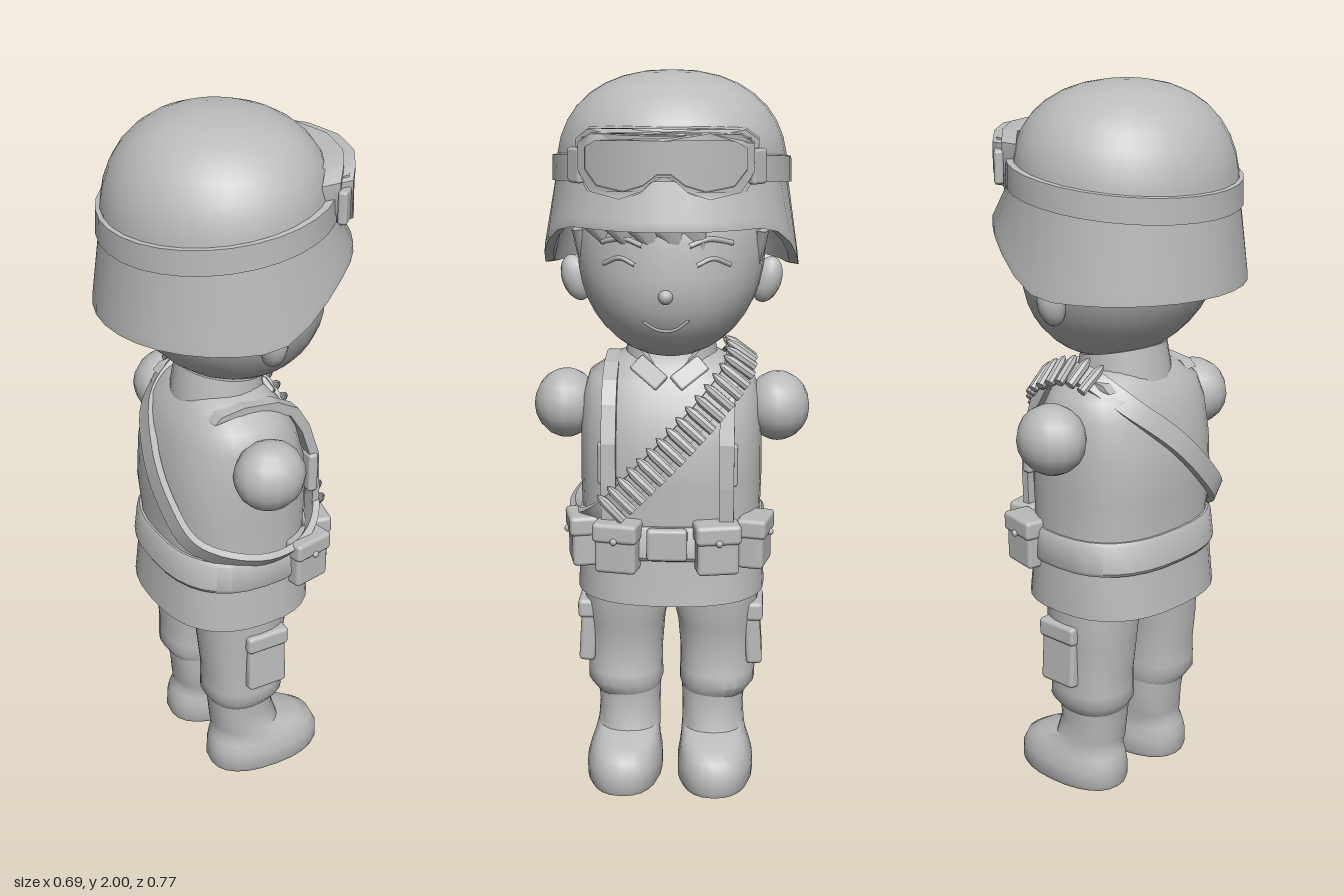
import * as THREE from 'three';
import { toCreasedNormals, mergeVertices } from 'three/addons/utils/BufferGeometryUtils.js';
import { RoundedBoxGeometry } from 'three/addons/geometries/RoundedBoxGeometry.js';

const V = (x, y, z) => new THREE.Vector3(x, y, z);

export function createModel() {
  const grey = new THREE.MeshStandardMaterial({ color: 0xbbbbbb });
  grey.name = 'plain grey';
  const model = new THREE.Group();
  model.name = 'toySoldier';

  function add(name, geo, parent = model, pos) {
    const m = new THREE.Mesh(geo, grey);
    m.name = name;
    if (pos) m.position.set(...pos);
    parent.add(m);
    return m;
  }

  // Skin over rows x cols points; rows run upward, angle runs from +x towards +z
  function skin(rows, cols, fn, crease = 0.8) {
    const pos = [], idx = [];
    for (let i = 0; i < rows; i++)
      for (let j = 0; j < cols; j++) pos.push(...fn(i, (j / cols) * Math.PI * 2));
    for (let i = 0; i < rows - 1; i++)
      for (let j = 0; j < cols; j++) {
        const k = (j + 1) % cols, a = i * cols, b = a + cols;
        idx.push(a + j, b + j, b + k, a + j, b + k, a + k);
      }
    const g = new THREE.BufferGeometry();
    g.setAttribute('position', new THREE.Float32BufferAttribute(pos, 3));
    g.setIndex(idx);
    return toCreasedNormals(g, crease);
  }

  // Superelliptic loft: rows of [y, cx, cz, rx, rz], closed at both ends
  function loft(rows, power = 2.4, cols = 24, crease = 0.8) {
    const a0 = rows[0], a1 = rows[rows.length - 1];
    const all = [[a0[0], a0[1], a0[2], 1e-4, 1e-4], ...rows, [a1[0], a1[1], a1[2], 1e-4, 1e-4]];
    const f = v => Math.sign(v) * Math.pow(Math.abs(v), 2 / power);
    return skin(all.length, cols, (i, a) => {
      const [y, cx, cz, rx, rz] = all[i];
      return [cx + rx * f(Math.cos(a)), y, cz + rz * f(Math.sin(a))];
    }, crease);
  }

  function bend(geo, rule) {
    const p = geo.attributes.position, v = V(0, 0, 0);
    for (let i = 0; i < p.count; i++) {
      v.fromBufferAttribute(p, i);
      rule(v);
      p.setXYZ(i, v.x, v.y, v.z);
    }
    return toCreasedNormals(geo, 0.7);
  }

  // Helmet shell: inner lining down to the rim, then flare, then dome
  const dome = t => Math.pow(1 - Math.pow(t, 2.3), 1 / 2.3);
  const rimY = c => 1.475 + 0.145 * THREE.MathUtils.smoothstep(c, -0.15, 0.75);
  const bandY = c => 1.7 + 0.035 * (c + 1);
  const helmetRows = 14;
  add('helmet', skin(helmetRows, 32, (i, a) => {
    const c = Math.cos(a), s = Math.sin(a);
    if (i === 0) return [-0.02 + 0.26 * c, 1.72, 0.27 * s];
    if (i === 1) return [-0.01 + 0.315 * c, rimY(c) + 0.005, 0.32 * s];
    if (i === 2) return [-0.01 + 0.342 * c, rimY(c), 0.345 * s];
    if (i === 3) return [-0.01 + 0.341 * c, rimY(c) + 0.025, 0.343 * s];
    const t = (i - 4) / (helmetRows - 5), e = Math.sin(t * Math.PI / 2), r = dome(e) + 1e-4;
    return [-0.03 + 0.295 * c * r, bandY(c) + (2 - bandY(c)) * e, 0.31 * s * r];
  }));
  const bandProfile = [[0.29, -0.03], [0.312, -0.028], [0.31, 0.04], [0.285, 0.045]];
  add('helmetBand', skin(4, 32, (i, a) => {
    const c = Math.cos(a), [r, dy] = bandProfile[i];
    return [-0.025 + r * c, bandY(c) + dy, (r + 0.01) * Math.sin(a)];
  }, 0.6));

  // Goggles wrapped round the helmet front
  const goggles = new THREE.Group();
  goggles.name = 'goggles';
  model.add(goggles);
  function goggleOutline(k, cls) {
    const half = [[0, 0.085], [0.12, 0.085], [0.2, 0.078], [0.235, 0.05], [0.235, -0.03],
      [0.2, -0.085], [0.12, -0.1], [0.06, -0.075], [0.02, -0.035]];
    const pts = [...half, ...half.slice(1).reverse().map(([x, y]) => [-x, y])];
    return new cls(pts.map(([x, y]) => new THREE.Vector2(x * (1 - k * 0.9), y * (1 - k * 2.2))));
  }
  const wrap = v => { v.x -= 1.9 * v.z * v.z; };
  function goggleFrame(name, k, hole, depth, x) {
    const s = goggleOutline(k, THREE.Shape);
    s.holes.push(goggleOutline(hole, THREE.Path));
    const g = new THREE.ExtrudeGeometry(s, { depth, bevelEnabled: false });
    g.rotateY(Math.PI / 2).translate(x, 1.79, 0);
    add(name, bend(g, wrap), goggles);
  }
  goggleFrame('goggleSeal', 0, 0.12, 0.055, 0.25);
  goggleFrame('goggleRim', 0.05, 0.14, 0.035, 0.305);
  add('goggleLens', bend(new THREE.BoxGeometry(0.03, 1, 0.43, 1, 2, 20), v => {
    const z = Math.abs(v.z), top = 0.07 - 0.3 * Math.max(0, z - 0.17);
    const low = z < 0.1 ? -0.03 - 0.5 * z : -0.08 + 0.5 * Math.max(0, z - 0.15);
    v.y = 1.79 + low + (top - low) * (v.y + 0.5);
    v.x += 0.31;
    wrap(v);
  }), goggles);
  for (const s of [1, -1]) {
    const clip = add('goggleClip', new RoundedBoxGeometry(0.05, 0.09, 0.025, 2, 0.008), goggles, [0.215, 1.775, s * 0.232]);
    clip.rotation.y = s * 0.75;
  }

  // Head, with the jaw pushed forward
  const jaw = y => 0.2 * Math.max(0, 1.53 - y);
  const faceX = (y, z) => -0.01 + jaw(y) + 0.28 *
    Math.sqrt(Math.max(0, 1 - ((y - 1.53) / 0.285) ** 2 - (z / 0.255) ** 2));
  const headGeo = new THREE.SphereGeometry(1, 28, 20);
  headGeo.scale(0.28, 0.285, 0.255).translate(-0.01, 1.53, 0);
  add('head', bend(headGeo, v => { v.x += jaw(v.y); }));
  const nose = new THREE.SphereGeometry(1, 10, 8).scale(0.02, 0.02, 0.02);
  add('nose', nose, model, [0.268, 1.445, 0]);

  // Thin face lines laid on the skin: pairs of [z, y]
  function faceLine(name, pts, r) {
    const c = new THREE.CatmullRomCurve3(pts.map(([z, y]) => V(faceX(y, z), y, z)));
    add(name, new THREE.TubeGeometry(c, 12, r, 6));
  }
  faceLine('mouth', [[0.06, 1.375], [0.02, 1.352], [-0.02, 1.352], [-0.06, 1.38]], 0.004);
  for (const s of [1, -1]) {
    faceLine('eye', [[s * 0.08, 1.525], [s * 0.12, 1.54], [s * 0.165, 1.52]], 0.006);
    faceLine('brow', [[s * 0.06, 1.575], [s * 0.11, 1.59], [s * 0.17, 1.575]], 0.007);
    // Ear and sideburn
    const ear = add('ear', new THREE.SphereGeometry(1, 12, 10), model, [0, 1.445, s * 0.26]);
    ear.scale.set(0.035, 0.065, 0.04);
    ear.rotation.x = s * 0.3;
    const lock = add('sideburn', new THREE.ConeGeometry(0.045, 0.18, 6).rotateX(Math.PI), model, [0.06, 1.5, s * 0.235]);
    lock.scale.z = 0.45;
    lock.rotation.x = s * 0.1;
  }
  // Fringe under the brim
  for (let i = 0; i < 5; i++) {
    const z = 0.16 - i * 0.06;
    const f = add('fringe', new THREE.ConeGeometry(0.05, 0.1, 6).rotateX(Math.PI), model, [faceX(1.6, z) - 0.005, 1.59, z]);
    f.scale.x = 0.4;
    f.rotation.x = 0.4;
  }

  // Jacket, collar and belt
  add('jacket', loft([
    [0.57, -0.015, 0, 0.225, 0.264], [0.68, -0.015, 0, 0.213, 0.258], [0.79, -0.012, 0, 0.203, 0.25],
    [0.9, -0.015, 0, 0.212, 0.253], [1.02, -0.015, 0, 0.205, 0.252], [1.12, -0.02, 0, 0.18, 0.246],
    [1.18, -0.025, 0, 0.15, 0.228], [1.22, -0.025, 0, 0.12, 0.17], [1.25, -0.025, 0, 0.09, 0.11]], 2.5, 32));
  add('collar', skin(4, 24, (i, a) => {
    const c = Math.cos(a), r = [0.135, 0.13, 0.12, 0.095][i];
    const notch = Math.max(0, c - 0.8) * 0.25;
    return [-0.02 + r * c, [1.185, 1.22, 1.28, 1.275][i] - 0.025 * c - (i ? notch : 0), r * Math.sin(a)];
  }));
  for (const s of [1, -1]) {
    const flap = add('collarFlap', new RoundedBoxGeometry(0.016, 0.05, 0.1, 2, 0.006), model, [0.105, 1.205, s * 0.055]);
    flap.rotation.set(-s * 0.6, -s * 0.5, 0.35);
  }
  add('belt', loft([[0.7, -0.013, 0, 0.219, 0.263], [0.71, -0.013, 0, 0.225, 0.268],
    [0.785, -0.012, 0, 0.217, 0.263], [0.795, -0.012, 0, 0.21, 0.256]], 2.5, 32, 0.6));
  add('buckle', new RoundedBoxGeometry(0.03, 0.09, 0.11, 2, 0.01), model, [0.215, 0.752, 0]);

  // Ammunition pouch: body, overhanging flap and stud, facing +x
  function pouch(x, z, turn) {
    const g = new THREE.Group();
    g.name = 'pouch';
    g.position.set(x, 0.74, z);
    g.rotation.y = turn;
    model.add(g);
    add('pouchBody', new RoundedBoxGeometry(0.07, 0.135, 0.115, 2, 0.012), g);
    add('pouchFlap', new RoundedBoxGeometry(0.082, 0.055, 0.125, 2, 0.012), g, [0.002, 0.048, 0]);
    add('pouchStud', new THREE.SphereGeometry(0.01, 8, 6), g, [0.043, 0.028, 0]);
  }

  // Bandolier loop round the body
  const loop = new THREE.CatmullRomCurve3([
    V(0.19, 0.84, 0.17), V(0.21, 0.95, 0.06), V(0.205, 1.05, -0.035), V(0.165, 1.15, -0.125), V(0.1, 1.205, -0.172),
    V(-0.02, 1.24, -0.18), V(-0.165, 1.16, -0.13), V(-0.225, 1.06, -0.02), V(-0.235, 0.95, 0.09),
    V(-0.2, 0.85, 0.19), V(-0.04, 0.79, 0.262), V(0.11, 0.79, 0.235)], true);
  function frameAt(u) {
    const p = loop.getPointAt(u), t = loop.getTangentAt(u);
    const n = p.clone().sub(V(-0.02, 1, 0));
    n.addScaledVector(t, -n.dot(t)).normalize();
    return { p, t, n, side: t.clone().cross(n) };
  }
  const corners = [[-0.03, -0.012], [0.03, -0.012], [0.03, 0.008], [-0.03, 0.008]];
  const strap = new THREE.BufferGeometry(), sp = [], si = [], N = 64;
  for (let i = 0; i < N; i++) {
    const { p, n, side } = frameAt(i / N);
    for (const [w, h] of corners) sp.push(...p.clone().addScaledVector(side, w).addScaledVector(n, h).toArray());
    for (let k = 0; k < 4; k++) {
      const a = i * 4 + k, b = i * 4 + (k + 1) % 4, c = ((i + 1) % N) * 4 + k, d = ((i + 1) % N) * 4 + (k + 1) % 4;
      si.push(a, b, d, a, d, c);
    }
  }
  strap.setAttribute('position', new THREE.Float32BufferAttribute(sp, 3));
  strap.setIndex(si);
  add('bandolierStrap', toCreasedNormals(strap, 0.7)).material.side = THREE.DoubleSide;
  const round = new THREE.LatheGeometry([[0, -0.05], [0.014, -0.05], [0.014, 0.022], [0.008, 0.04], [0, 0.05]]
    .map(q => new THREE.Vector2(...q)), 8);
  const roundGeo = toCreasedNormals(mergeVertices(round), 0.6);
  for (let i = 0; i < 19; i++) {
    const { p, t, n, side } = frameAt(0.015 + i * 0.0215);
    const b = add('cartridge', roundGeo);
    b.quaternion.setFromRotationMatrix(new THREE.Matrix4().makeBasis(t, side.clone().negate(), n));
    b.position.copy(p).addScaledVector(n, 0.014);
  }

  // Mirrored parts: arms, harness, pouches, legs and boots
  for (const s of [1, -1]) {
    pouch(0.205, s * 0.135, -s * 0.2);
    pouch(0.125, s * 0.237, -s * 1.35);
    const arm = add('armStub', new THREE.SphereGeometry(1, 14, 10), model, [-0.028, 1.085, s * 0.295]);
    arm.scale.set(0.1, 0.097, 0.09);

    const strapPath = [[0.207, 0.8], [0.211, 0.9], [0.205, 1.02], [0.172, 1.12], [0.135, 1.18], [0.07, 1.215], [-0.03, 1.225], [-0.1, 1.215]];
    const outline = new THREE.Shape([...strapPath.map(([x, y]) => new THREE.Vector2(x - 0.03, y - 0.012)),
      ...strapPath.slice().reverse().map(([x, y]) => new THREE.Vector2(x - 0.008, y + 0.008))]);
    const harness = new THREE.ExtrudeGeometry(outline, { depth: 0.04, bevelEnabled: false });
    add('harnessStrap', harness, model, [0, 0, s * 0.16 - 0.02]);
    add('chestPocket', new RoundedBoxGeometry(0.03, 0.12, 0.05, 2, 0.01), model, [0.178, 0.97, s * 0.165]);

    add('trouserLeg', loft([
      [0.24, -0.02, s * 0.125, 0.095, 0.09], [0.275, -0.02, s * 0.132, 0.118, 0.108], [0.31, -0.022, s * 0.133, 0.115, 0.108],
      [0.36, -0.028, s * 0.132, 0.108, 0.106], [0.46, -0.025, s * 0.13, 0.122, 0.112],
      [0.52, -0.02, s * 0.126, 0.128, 0.122], [0.62, -0.02, s * 0.124, 0.133, 0.123]], 2.3));
    add('cargoPocket', new RoundedBoxGeometry(0.12, 0.17, 0.045, 2, 0.012), model, [0, 0.425, s * 0.235]).rotation.x = s * -0.06;
    add('cargoFlap', new RoundedBoxGeometry(0.13, 0.055, 0.05, 2, 0.012), model, [0, 0.5, s * 0.238]);
    add('boot', loft([
      [0, 0.055, s * 0.13, 0.17, 0.1], [0.015, 0.055, s * 0.13, 0.176, 0.108], [0.06, 0.055, s * 0.13, 0.175, 0.108],
      [0.095, 0.05, s * 0.128, 0.163, 0.1], [0.118, 0.035, s * 0.125, 0.137, 0.094], [0.14, -0.005, s * 0.122, 0.1, 0.09],
      [0.2, -0.017, s * 0.12, 0.093, 0.088], [0.27, -0.02, s * 0.122, 0.1, 0.092]], 2.3));
  }
  return model;
}
